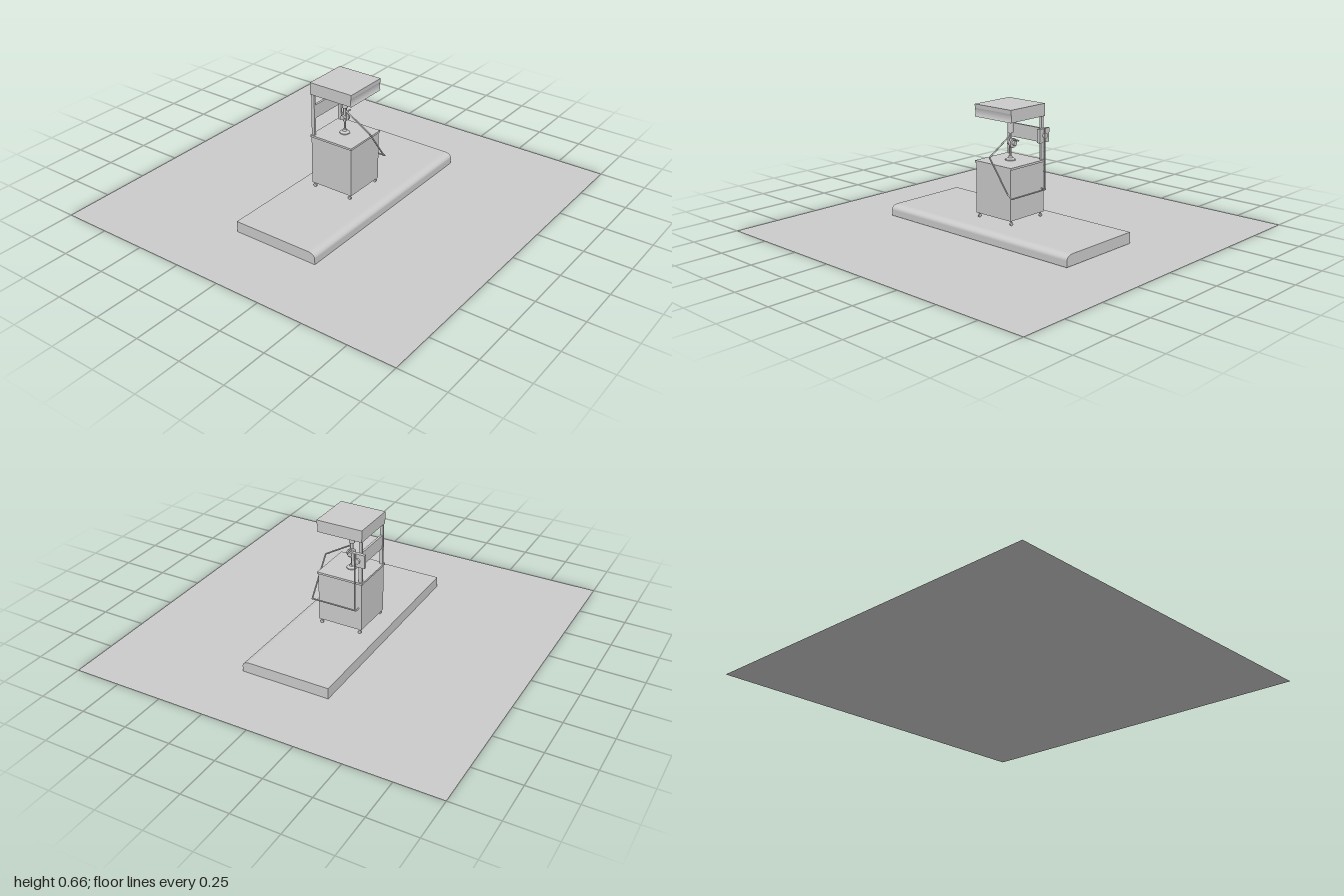
import * as THREE from 'three';

const material = new THREE.MeshStandardMaterial({ color: 0xcccccc, side: THREE.DoubleSide });

export function createModel() {
  const model = new THREE.Group();
  const add = (name, geometry, x = 0, y = 0, z = 0, parent = model) => {
    const mesh = new THREE.Mesh(geometry, material);
    mesh.name = name;
    mesh.position.set(x, y, z);
    parent.add(mesh);
    return mesh;
  };
  // box given by its min and max corners
  const box = (name, [x0, y0, z0], [x1, y1, z1]) =>
    add(name, new THREE.BoxGeometry(x1 - x0, y1 - y0, z1 - z0), (x0 + x1) / 2, (y0 + y1) / 2, (z0 + z1) / 2);
  // side profile in (z, y), extruded along x and centred
  const extrudeX = (name, shape, width) => {
    const g = new THREE.ExtrudeGeometry(shape, { depth: width, bevelEnabled: false, curveSegments: 10 });
    g.translate(0, 0, -width / 2).rotateY(-Math.PI / 2);
    return add(name, g);
  };
  // round bar made of straight runs with ball joints
  const bar = (name, points, radius) => {
    const group = new THREE.Group();
    group.name = name;
    model.add(group);
    const pts = points.map(p => new THREE.Vector3(...p));
    pts.forEach((p, i) => {
      add(name + 'Joint', new THREE.SphereGeometry(radius, 10, 8), p.x, p.y, p.z, group);
      if (i === 0) return;
      const run = new THREE.LineCurve3(pts[i - 1], p);
      add(name + 'Run', new THREE.TubeGeometry(run, 1, radius, 10), 0, 0, 0, group);
    });
  };

  // floor and plinth with a rounded front edge
  add('floor', new THREE.PlaneGeometry(2, 2).rotateX(-Math.PI / 2));
  const plinth = new THREE.Shape();
  plinth.moveTo(-0.21, 0.003);
  plinth.lineTo(0.277, 0.003);
  plinth.lineTo(0.277, 0.035);
  plinth.bezierCurveTo(0.277, 0.05, 0.262, 0.062, 0.235, 0.062);
  plinth.lineTo(-0.21, 0.062);
  extrudeX('plinth', plinth, 1.23);

  // cabinet with its thin worktop
  box('cabinet', [-0.12, 0.088, -0.122], [0.12, 0.357, 0.128]);
  box('worktop', [-0.126, 0.355, -0.126], [0.126, 0.366, 0.132]);

  // casters
  for (const x of [-0.112, 0.112]) {
    for (const z of [-0.108, 0.114]) {
      add('casterStem', new THREE.CylinderGeometry(0.004, 0.004, 0.02, 10), x, 0.08, z);
      add('casterWheel', new THREE.CylinderGeometry(0.009, 0.009, 0.008, 14).rotateZ(Math.PI / 2), x, 0.071, z);
    }
    box('post', [x - 0.006, 0.365, -0.122], [x + 0.006, 0.597, -0.104]);
  }
  box('rearPanel', [-0.11, 0.458, -0.119], [0.12, 0.532, -0.107]);

  // overhanging head with a slightly curved front
  const head = new THREE.Shape();
  head.moveTo(-0.124, 0.595);
  head.lineTo(0.131, 0.595);
  head.quadraticCurveTo(0.122, 0.615, 0.13, 0.64);
  head.lineTo(0.131, 0.66);
  head.lineTo(-0.124, 0.66);
  extrudeX('head', head, 0.25);

  // spindle, turned about the vertical axis
  const profile = [
    [0, 0.366], [0.027, 0.366], [0.027, 0.371], [0.012, 0.378], [0.009, 0.388], [0.005, 0.39],
    [0.005, 0.43], [0.008, 0.432], [0.008, 0.508], [0.015, 0.51], [0.015, 0.596],
  ].map(([r, y]) => new THREE.Vector2(r, y));
  const spindleGeometry = new THREE.LatheGeometry(profile, 20).toNonIndexed();
  spindleGeometry.computeVertexNormals();
  add('spindle', spindleGeometry);

  // hand wheel on the spindle
  const wheel = new THREE.Group();
  wheel.name = 'handWheel';
  wheel.position.set(0.012, 0.456, -0.004);
  model.add(wheel);
  add('wheelDisc', new THREE.CylinderGeometry(0.025, 0.025, 0.012, 20).rotateZ(Math.PI / 2), 0, 0, 0, wheel);
  add('wheelHub', new THREE.CylinderGeometry(0.012, 0.012, 0.05, 14).rotateZ(Math.PI / 2), -0.005, 0, 0, wheel);
  add('wheelShaft', new THREE.CylinderGeometry(0.004, 0.004, 0.04, 10).rotateZ(Math.PI / 2), 0.022, 0.018, 0, wheel);

  // bent guard rail running round the side
  bar('guardRail', [
    [0, 0.497, 0], [0, 0.405, 0.154], [0.125, 0.235, 0.154], [0.148, 0.215, 0.15],
    [0.148, 0.215, -0.105], [0.148, 0.215, -0.098], [0.146, 0.535, -0.098],
  ], 0.004);
  bar('railBracket', [[0.118, 0.215, -0.105], [0.148, 0.215, -0.105]], 0.004);

  // control box on the side post
  box('controlBox', [0.118, 0.46, -0.145], [0.136, 0.533, -0.072]);
  add('controlKnob', new THREE.CylinderGeometry(0.014, 0.014, 0.012, 16).rotateZ(Math.PI / 2), 0.141, 0.497, -0.108);

  return model;
}
